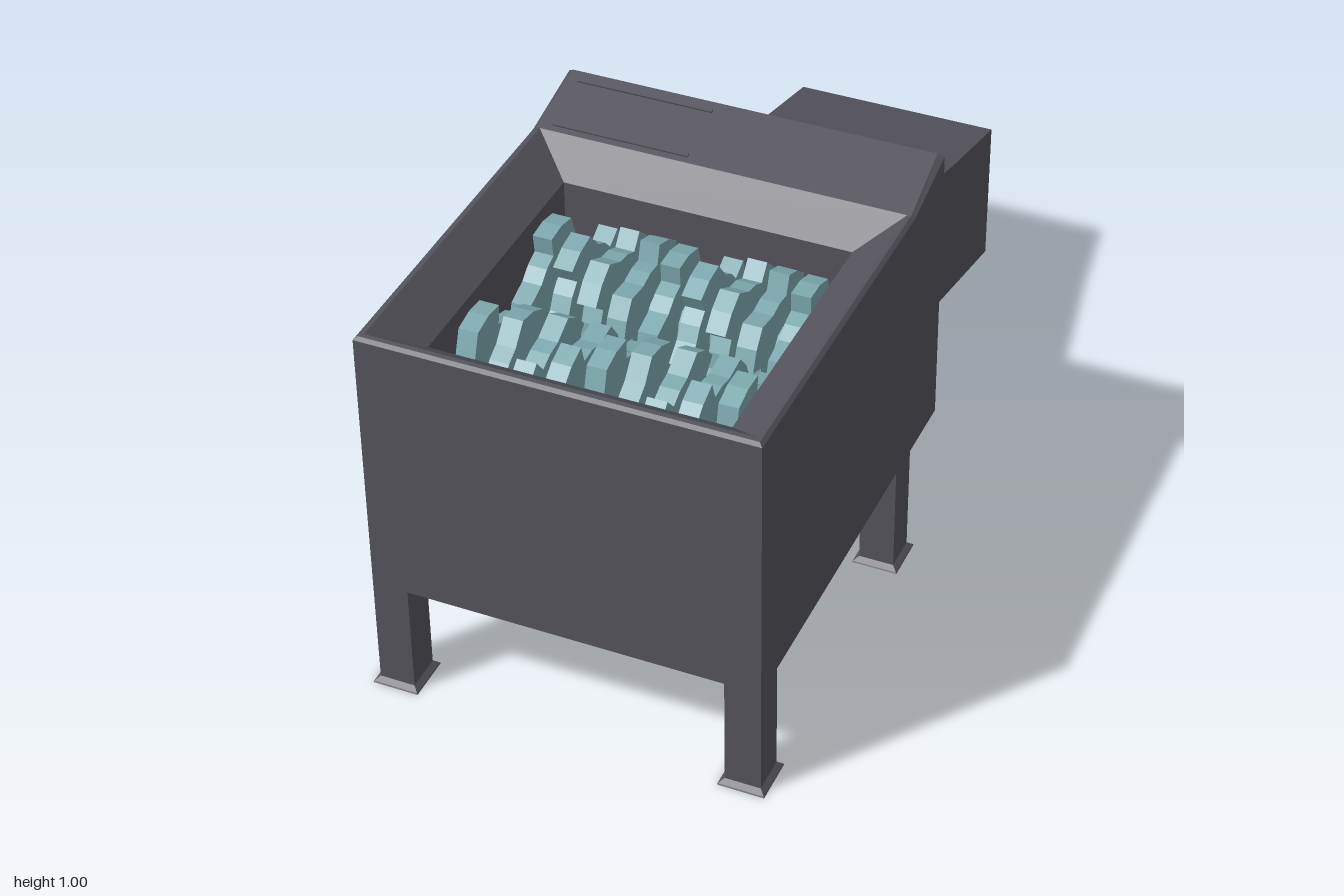
import * as THREE from 'three';

// Skin through loops of points (counter-clockwise when seen from the end of the loft)
function loft(loops, capStart = true, capEnd = true) {
  const pos = [];
  const tri = (a, b, c) => pos.push(...a, ...b, ...c);
  const fan = (l) => { for (let i = 1; i < l.length - 1; i++) tri(l[0], l[i], l[i + 1]); };
  for (let k = 0; k < loops.length - 1; k++) {
    const a = loops[k], b = loops[k + 1], n = a.length;
    for (let i = 0; i < n; i++) {
      const j = (i + 1) % n;
      tri(a[i], a[j], b[j]);
      tri(a[i], b[j], b[i]);
    }
  }
  if (capStart) fan([...loops[0]].reverse());
  if (capEnd) fan(loops[loops.length - 1]);
  const g = new THREE.BufferGeometry();
  g.setAttribute('position', new THREE.Float32BufferAttribute(pos, 3));
  g.computeVertexNormals();
  return g;
}

// Horizontal rectangle: half width, front z, back z, height
const flat = (w, zf, zb, y) => [[-w, y, zf], [w, y, zf], [w, y, zb], [-w, y, zb]];
// Chute section: half width, bottom and top points as [z, y]
const gate = (w, [zb, yb], [zt, yt], wt = w) => [[w, yb, zb], [-w, yb, zb], [-wt, yt, zt], [wt, yt, zt]];

// Hooked cutter disc, extruded along x
function cutterGeometry(width, inner, outer, teeth) {
  const s = new THREE.Shape();
  const steps = 5;
  for (let t = 0; t < teeth; t++) {
    for (let k = 0; k <= steps; k++) {
      const f = k / steps;
      const a = ((t + f * 0.97) / teeth) * Math.PI * 2;
      const r = inner + (outer - inner) * (f < 0.55 ? f * 0.3 : 1);
      const x = Math.cos(a) * r, y = Math.sin(a) * r;
      if (t === 0 && k === 0) s.moveTo(x, y); else s.lineTo(x, y);
    }
  }
  s.closePath();
  const g = new THREE.ExtrudeGeometry(s, { depth: width, bevelEnabled: false });
  g.translate(0, 0, -width / 2);
  g.rotateY(Math.PI / 2);
  return g;
}

export function createModel() {
  const model = new THREE.Group();
  model.name = 'shredder';
  const mat = (name, color) => {
    const m = new THREE.MeshStandardMaterial({ color });
    m.name = name;
    return m;
  };
  const steel = mat('dark steel', 0x55545d);
  const blade = mat('blade steel', 0x7eaab0);
  const add = (name, geo, material, parent = model) => {
    const m = new THREE.Mesh(geo, material);
    m.name = name;
    parent.add(m);
    return m;
  };

  // Outer casing, raised towards the back
  const ring = (w, zf, yf, wb, zb, yb) => [
    [-w, yf, zf], [w, yf, zf], [w, yf, 0.13], [wb, yb, zb], [-wb, yb, zb], [-w, yf, 0.13]];
  add('casing', loft([
    ring(0.457, 0.985, 0.285, 0.457, -0.06, 0.285),
    ring(0.457, 0.985, 0.944, 0.455, -0.06, 0.99),
    ring(0.449, 0.978, 0.952, 0.441, -0.052, 1.0),
  ], true, false), steel);

  // Sloped rear panel
  add('rearPanel', loft([
    [[-0.449, 0.952, 0.13], [0.449, 0.952, 0.13], [0.441, 1.0, -0.052], [-0.441, 1.0, -0.052]],
  ], false, true), steel);

  // Rim, sloped throat, inner walls and floor of the hopper
  add('hopper', loft([
    flat(0.449, 0.978, 0.13, 0.952),
    flat(0.44, 0.966, 0.13, 0.952),
    flat(0.345, 0.872, 0.21, 0.88),
    flat(0.345, 0.872, 0.21, 0.5),
  ], false, true), steel);

  // Two thin ridges on the rear panel
  for (const [z, y] of [[-0.025, 0.993], [0.11, 0.957]]) {
    const r = add('panelRidge', new THREE.BoxGeometry(0.33, 0.008, 0.01), steel);
    r.position.set(-0.25, y, z);
    r.rotation.x = 0.26;
  }

  // Funnel and hollow discharge chute
  add('chute', loft([
    gate(0.457, [-0.055, 0.283], [-0.055, 0.998], 0.444),
    gate(0.255, [-0.13, 0.283], [-0.24, 0.645]),
    gate(0.255, [-0.6, 0.15], [-0.71, 0.51]),
    gate(0.255, [-1, 0.065], [-1, 0.44]),
    gate(0.222, [-1, 0.1], [-1, 0.407]),
    gate(0.222, [-0.6, 0.185], [-0.71, 0.476]),
    gate(0.222, [-0.15, 0.315], [-0.24, 0.61]),
  ], true, true), steel);

  // Four legs with flared feet
  for (const sx of [-1, 1]) {
    for (const z of [0.941, 0.148]) {
      const leg = new THREE.Group();
      leg.name = 'leg';
      leg.position.set(sx * 0.415, 0, z);
      model.add(leg);
      add('legPost', new THREE.BoxGeometry(0.084, 0.28, 0.088), steel, leg).position.y = 0.15;
      add('foot', loft([
        flat(0.055, 0.057, -0.057, 0),
        flat(0.053, 0.055, -0.055, 0.003),
        flat(0.042, 0.044, -0.044, 0.013),
      ]), steel, leg);
    }
  }

  // Two counter-turning cutter shafts
  const cutter = cutterGeometry(0.046, 0.122, 0.168, 4);
  for (const [z, dir] of [[0.358, 1], [0.702, -1]]) {
    const rotor = new THREE.Group();
    rotor.name = 'cutterShaft';
    rotor.position.set(0, 0.7, z);
    model.add(rotor);
    const shaft = new THREE.CylinderGeometry(0.05, 0.05, 0.688, 12);
    shaft.rotateZ(Math.PI / 2);
    add('shaft', shaft, blade, rotor);
    for (let i = 0; i < 9; i++) {
      const c = add('cutter', cutter, blade, rotor);
      c.position.x = -0.308 + i * 0.0755;
      c.rotation.x = dir * (0.3 + i * 0.38);
      c.scale.z = dir;
      if (dir < 0) c.scale.x = -1;
    }
  }
  return model;
}
